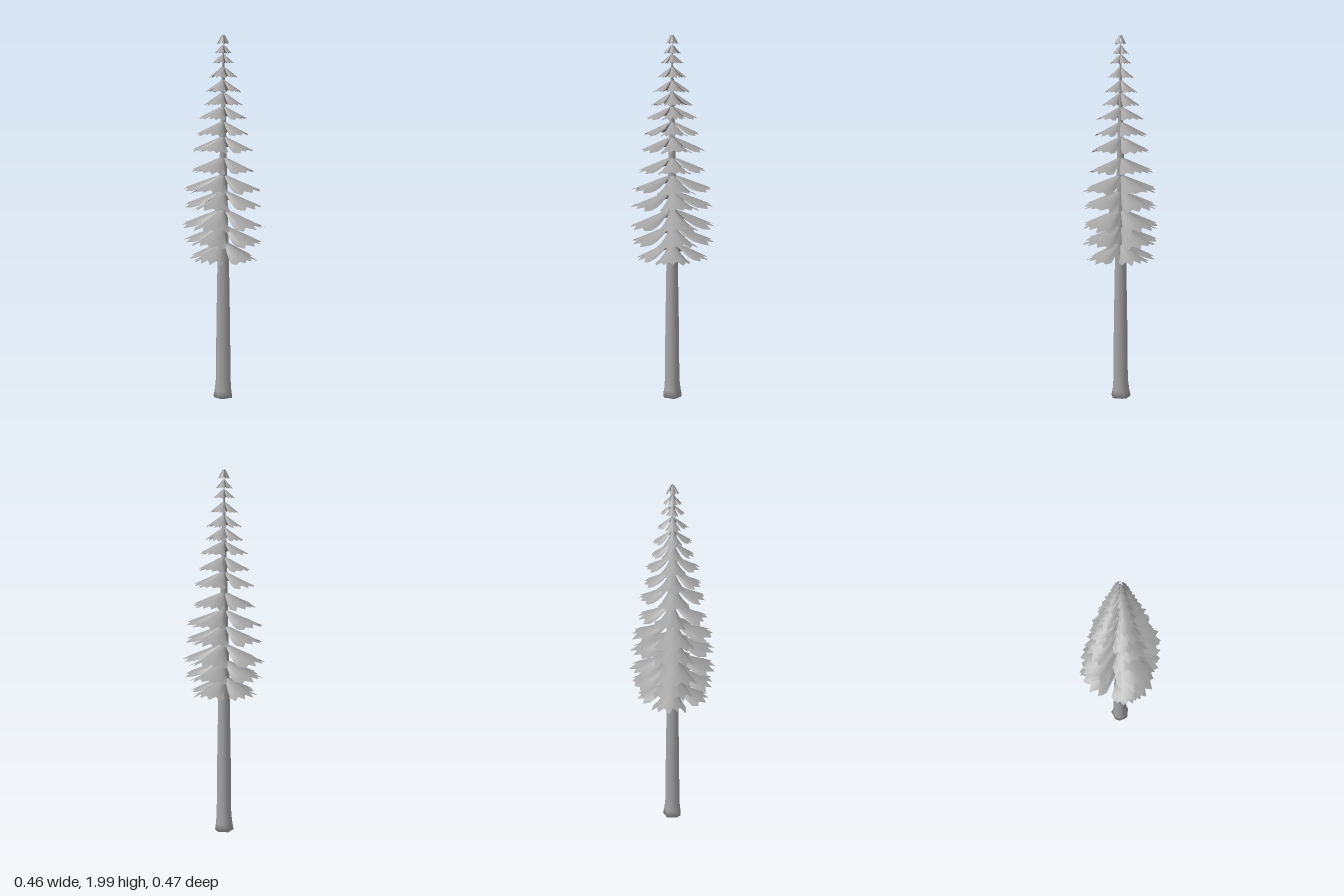
import * as THREE from 'three';

const bark = new THREE.MeshStandardMaterial({ color: 0xa2a2a2, side: THREE.DoubleSide });
bark.name = 'grey bark';
const needles = new THREE.MeshStandardMaterial({ color: 0xa2a2a2, side: THREE.DoubleSide });
needles.name = 'grey needles';

// Small seeded generator for natural irregularity, 0..1
let seed = 7;
function rand() {
  seed = (seed * 16807) % 2147483647;
  return seed / 2147483647;
}
const vary = (amount) => (rand() * 2 - 1) * amount;

// Tiers of boughs: [tip height, reach, height at the trunk]
const TIERS = [
  [0.79, 0.195, 0.885], [0.885, 0.222, 0.975], [0.97, 0.23, 1.065],
  [1.08, 0.218, 1.165], [1.17, 0.218, 1.25], [1.27, 0.185, 1.345],
  [1.38, 0.173, 1.455], [1.465, 0.152, 1.535], [1.55, 0.14, 1.615],
  [1.62, 0.112, 1.69], [1.69, 0.1, 1.755], [1.765, 0.08, 1.825],
  [1.84, 0.062, 1.89], [1.89, 0.048, 1.94], [1.94, 0.034, 2.0],
];

// Drooping fan of needles pointing along +z, arched across, with a toothed rim
function boughGeometry(tipY, reach, rootY) {
  const cols = 10, rows = 4, half = 0.66;
  const pos = [], index = [];
  for (let c = 0; c <= cols; c++) {
    const u = (c / cols) * 2 - 1;
    const tooth = c % 2 ? 1 + vary(0.04) : 0.87 + vary(0.04);
    const length = reach * (1 - 0.14 * u * u) * tooth * 1.02;
    const angle = u * half + vary(0.03);
    for (let r = 0; r <= rows; r++) {
      const t = r / rows;
      const radius = 0.008 * (1 - t) + length * t;
      const fall = (rootY - tipY) * Math.pow(radius / reach, 1.05);
      const arch = reach * 0.16 * u * u * Math.sin(t * 2.2);
      pos.push(Math.sin(angle) * radius, rootY - fall - arch, Math.cos(angle) * radius);
    }
  }
  for (let c = 0; c < cols; c++) {
    for (let r = 0; r < rows; r++) {
      const a = c * (rows + 1) + r, b = a + rows + 1;
      index.push(a, a + 1, b, b, a + 1, b + 1);
    }
  }
  const geo = new THREE.BufferGeometry();
  geo.setAttribute('position', new THREE.Float32BufferAttribute(pos, 3));
  geo.setIndex(index);
  geo.computeVertexNormals();
  return geo;
}

// Tapering trunk whose foot spreads into uneven root lobes
function trunkGeometry() {
  const profile = [
    [0, 0], [0.052, 0], [0.046, 0.04], [0.041, 0.1], [0.038, 0.4],
    [0.031, 0.8], [0.02, 1.3], [0.009, 1.75], [0, 1.98],
  ].map(([r, y]) => new THREE.Vector2(r, y));
  const geo = new THREE.LatheGeometry(profile, 12);
  const p = geo.attributes.position;
  for (let i = 0; i < p.count; i++) {
    const x = p.getX(i), y = p.getY(i), z = p.getZ(i);
    const a = Math.atan2(z, x);
    const foot = Math.max(0, 1 - y / 0.1);
    const k = 1 + foot * 0.1 * Math.cos(a * 5 + 0.6) + 0.03 * Math.cos(a * 3);
    p.setXYZ(i, x * k, y, z * k);
  }
  geo.computeVertexNormals();
  return geo;
}

export function createModel() {
  const tree = new THREE.Group();
  tree.name = 'conifer';

  const trunk = new THREE.Mesh(trunkGeometry(), bark);
  trunk.name = 'trunk';
  tree.add(trunk);

  // Four boughs per tier, each tier turned slightly
  TIERS.forEach(([tipY, reach, rootY], i) => {
    const tier = new THREE.Group();
    tier.name = `tier${i + 1}`;
    const turn = vary(0.1);
    for (let k = 0; k < 4; k++) {
      const bough = new THREE.Mesh(boughGeometry(tipY, reach, rootY), needles);
      bough.name = `bough${k + 1}`;
      bough.rotation.y = (k * Math.PI) / 2 + turn + vary(0.05);
      tier.add(bough);
    }
    tree.add(tier);
  });
  return tree;
}
